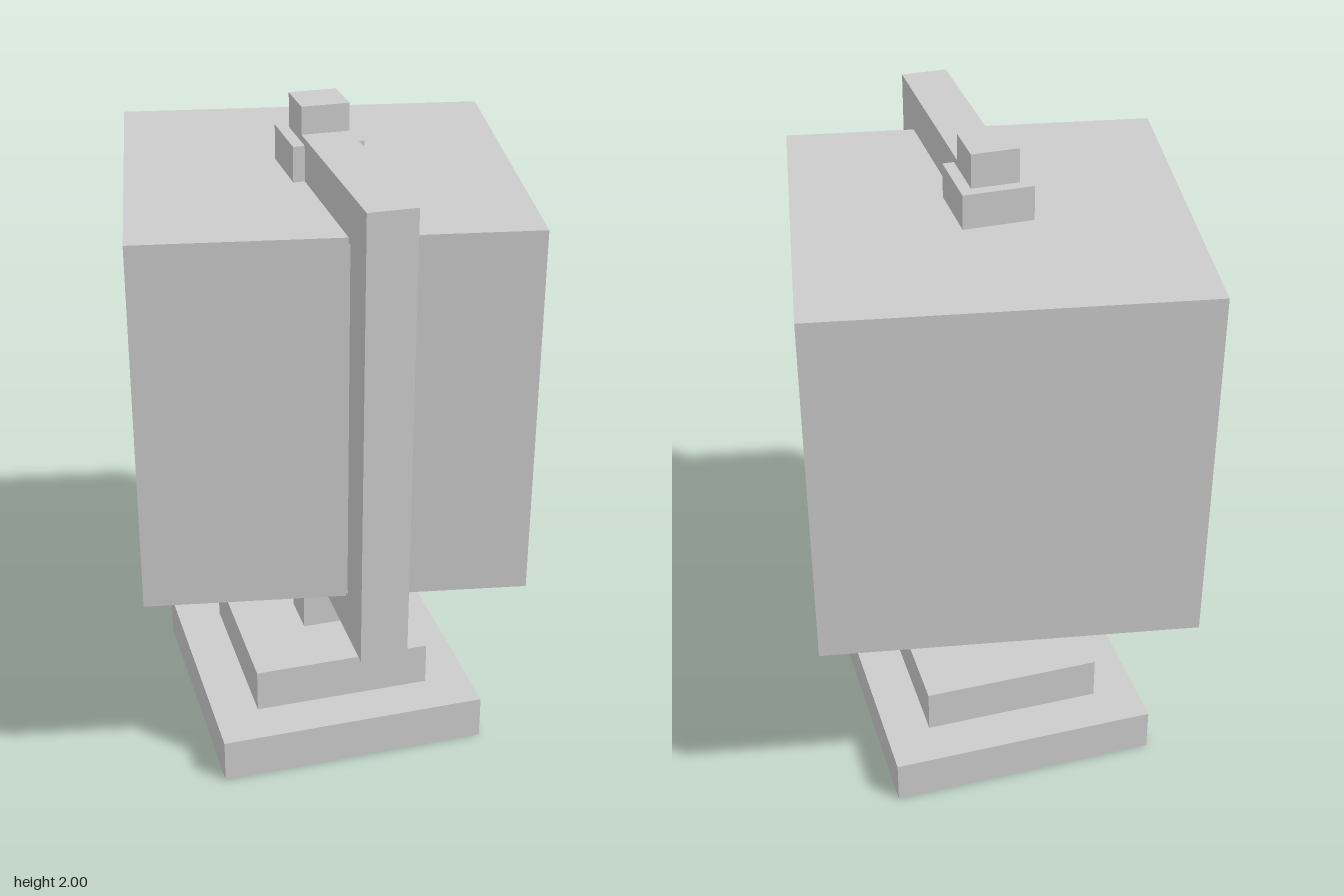
import * as THREE from 'three';

export function createModel() {
  const model = new THREE.Group();
  model.name = 'blockGlobe';
  const material = new THREE.MeshStandardMaterial({ color: 0xcccccc, flatShading: true });

  const axisZ = -0.02; // the stand and spindle share this axis
  const bar = 0.138; // thickness of the post and the frame

  // Box given by its width, depth, bottom, top and centre in z
  function block(name, width, depth, bottom, top, z = axisZ) {
    const mesh = new THREE.Mesh(new THREE.BoxGeometry(width, top - bottom, depth), material);
    mesh.name = name;
    mesh.position.set(0, (bottom + top) / 2, z);
    model.add(mesh);
    return mesh;
  }

  // Stepped stand
  block('base', 0.826, 0.826, 0, 0.138);
  block('baseStep', 0.55, 0.55, 0.138, 0.275);
  block('post', bar, bar, 0.275, 0.71);

  // Square globe, turned a little on its axis
  block('globe', 1.102, 1.102, 0.694, 1.796, -0.032).rotation.y = THREE.MathUtils.degToRad(-10);

  // Collars and top pin on the axis
  block('lowerCollar', 0.205, 0.205, 0.592, 0.694);
  block('upperCollar', 0.205, 0.205, 1.796, 1.899);
  block('topPin', bar, bar, 1.796, 2);

  // C-shaped frame: two arms joined by an upright in front
  const back = axisZ + bar / 2, front = 0.669;
  const armDepth = front - bar - back;
  const armZ = back + armDepth / 2;
  block('lowerArm', bar, armDepth, 0.571, 0.571 + bar, armZ);
  block('upperArm', bar, armDepth, 1.92 - bar, 1.92, armZ);
  block('frameUpright', bar, bar, 0.571, 1.92, front - bar / 2);

  return model;
}
